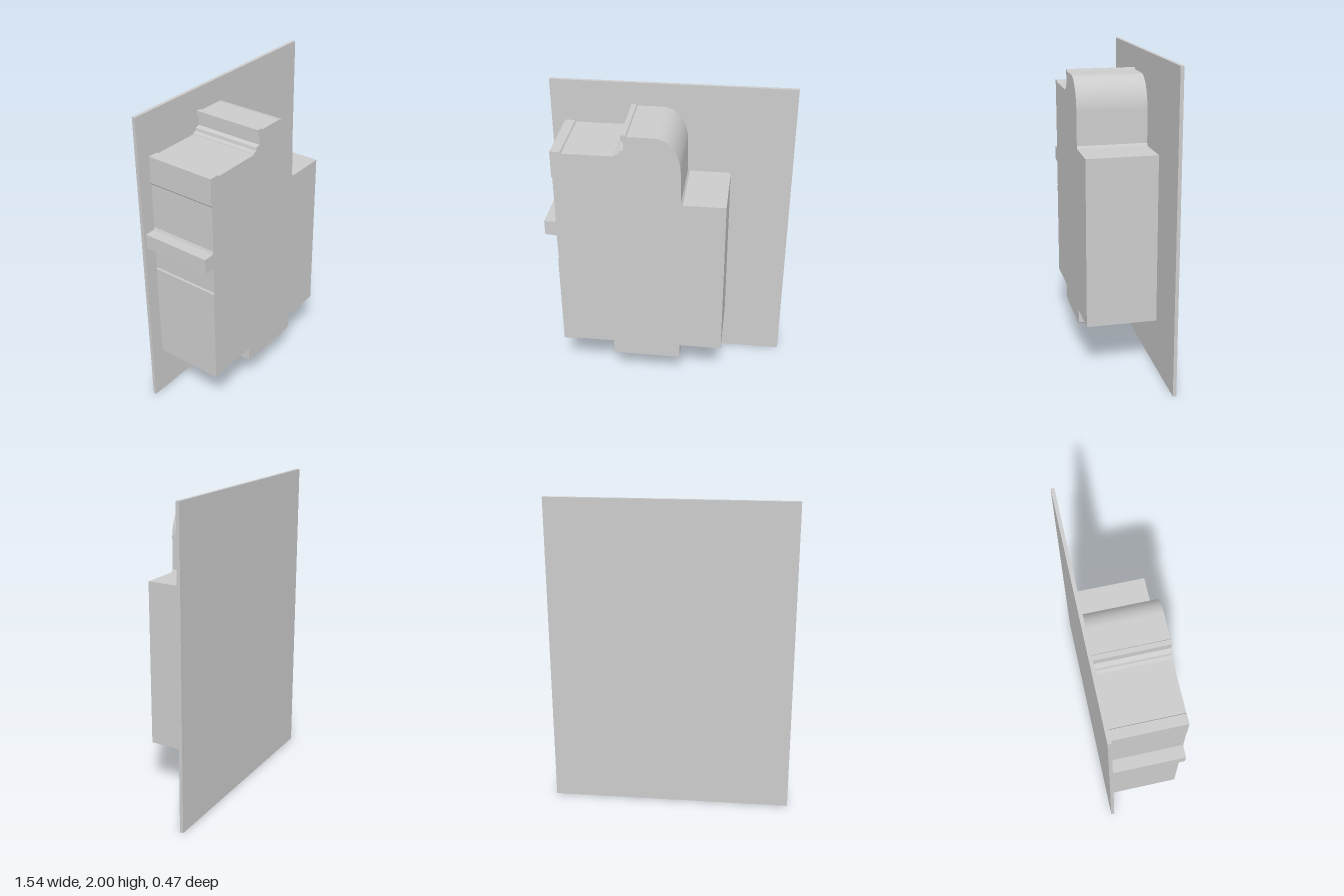
import * as THREE from 'three';

const BACK = -0.237, PLATE_FRONT = -0.215, FRONT = 0.237;

// Outline of the raised block, clockwise from its upper left corner
function blockShape() {
  const s = new THREE.Shape();
  const line = (pts) => pts.forEach(([x, y]) => s.lineTo(x, y));
  s.moveTo(-0.683, 1.73);
  // Top ledge and the stepped lip
  line([
    [-0.62, 1.73], [-0.614, 1.72], [-0.296, 1.72], [-0.291, 1.73], [-0.272, 1.735],
    [-0.267, 1.755], [-0.24, 1.763], [-0.24, 1.82], [-0.255, 1.825], [-0.255, 1.86],
    [-0.224, 1.86], [-0.218, 1.85], [-0.06, 1.85],
  ]);
  // Rounded shoulder
  s.absellipse(-0.06, 1.635, 0.16, 0.215, Math.PI / 2, 0, true);
  // Right side, foot and bottom edge
  line([
    [0.103, 1.43], [0.114, 1.413], [0.378, 1.413], [0.378, 0.328], [0.102, 0.328],
    [0.102, 0.236], [0.09, 0.227], [-0.298, 0.227], [-0.304, 0.233], [-0.343, 0.233],
    [-0.343, 0.328], [-0.594, 0.328], [-0.6, 0.323], [-0.683, 0.323],
  ]);
  // Left side with its small tab
  line([
    [-0.683, 0.96], [-0.677, 0.97], [-0.68, 1.143], [-0.752, 1.148], [-0.752, 1.243],
    [-0.684, 1.243], [-0.677, 1.26], [-0.677, 1.55], [-0.683, 1.56],
  ]);
  s.closePath();
  return s;
}

export function createModel() {
  const group = new THREE.Group();
  const material = new THREE.MeshStandardMaterial({ color: 0xcccccc });

  // Thin back plate
  const plate = new THREE.Mesh(new THREE.BoxGeometry(1.54, 2, PLATE_FRONT - BACK), material);
  plate.name = 'backPlate';
  plate.position.set(0, 1, (BACK + PLATE_FRONT) / 2);
  group.add(plate);

  // Extruded block standing out from the plate
  const geometry = new THREE.ExtrudeGeometry(blockShape(), {
    depth: FRONT - PLATE_FRONT, bevelEnabled: false, curveSegments: 12,
  });
  const block = new THREE.Mesh(geometry, material);
  block.name = 'raisedBlock';
  block.position.z = PLATE_FRONT;
  group.add(block);

  return group;
}
